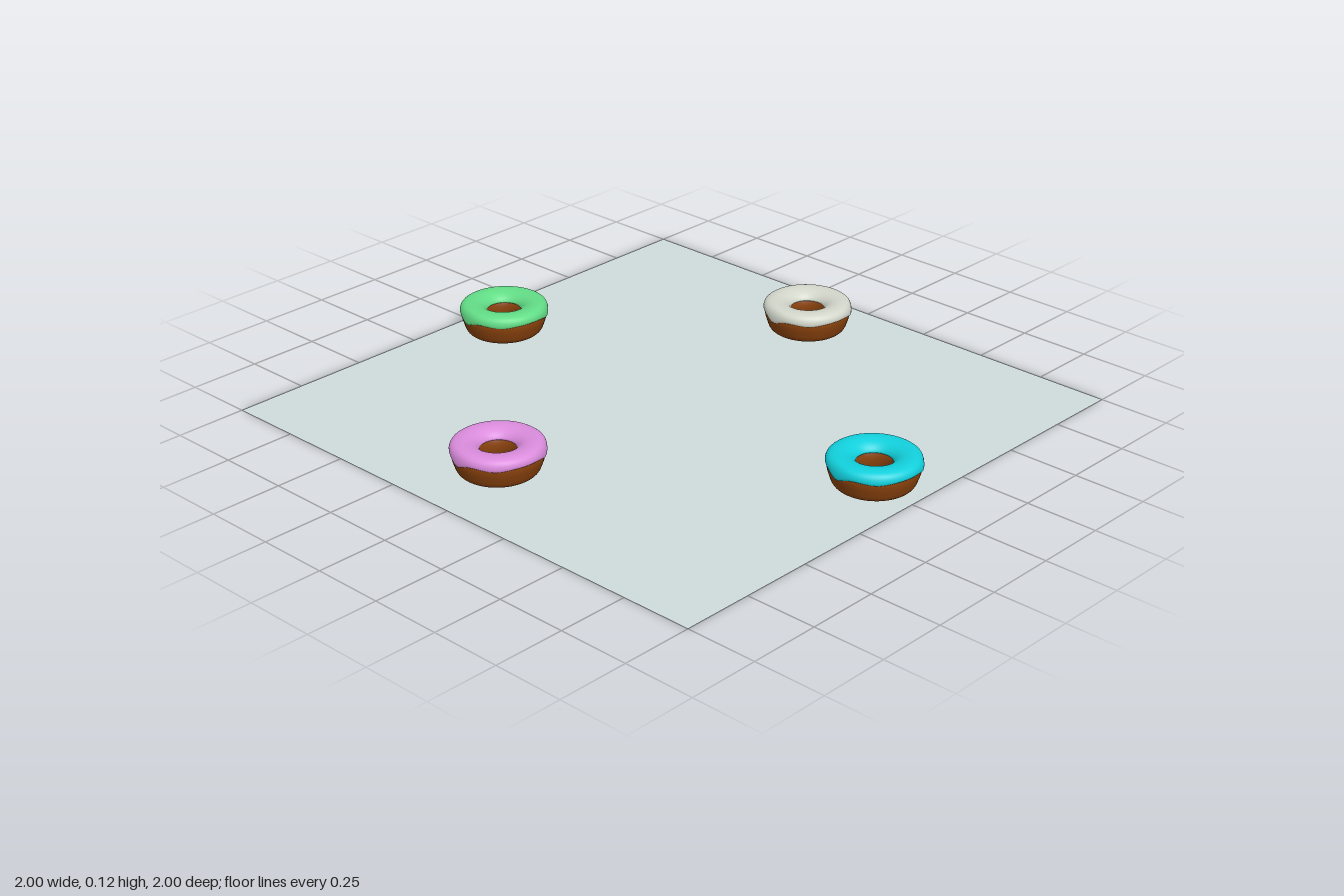
import * as THREE from 'three';
import { mergeVertices } from 'three/addons/utils/BufferGeometryUtils.js';

const SEGMENTS = 48;

// Smooth profile through [radius, height] points
function profile(points, closed, count) {
  const curve = new THREE.CatmullRomCurve3(points.map(([r, y]) => new THREE.Vector3(r, y, 0)), closed, 'centripetal');
  return curve.getPoints(count).map((p) => new THREE.Vector2(p.x, p.y));
}

// Weld the seam so the shading stays smooth all the way round
function weld(geometry) {
  geometry.deleteAttribute('uv');
  geometry.deleteAttribute('normal');
  const welded = mergeVertices(geometry, 1e-5);
  welded.computeVertexNormals();
  return welded;
}

// Ring of dough: narrow flat base, widest near the icing line
function doughGeometry() {
  const points = [
    [0.075, 0.013], [0.095, 0.01], [0.115, 0.011], [0.13, 0.022], [0.14, 0.045],
    [0.147, 0.07], [0.147, 0.088], [0.138, 0.104], [0.11, 0.112], [0.08, 0.106],
    [0.061, 0.09], [0.055, 0.065], [0.06, 0.033],
  ];
  return weld(new THREE.LatheGeometry(profile(points, true, 40), SEGMENTS));
}

// How far the icing runs down at each angle (0 = front): [angle, width, depth]
const DRIPS = [[-0.2, 0.24, 0.018], [0.75, 0.3, 0.006], [2.2, 0.3, 0.014], [3.5, 0.28, 0.01], [4.6, 0.25, 0.006]];
function drip(angle) {
  return DRIPS.reduce((sum, [centre, width, depth]) => {
    const d = Math.atan2(Math.sin(angle - centre), Math.cos(angle - centre));
    return sum + depth * Math.exp(-((d / width) ** 2));
  }, 0);
}

// Icing shell with a wavy outer edge
function icingGeometry() {
  const points = [
    [0.145, 0.086], [0.151, 0.087], [0.153, 0.094], [0.149, 0.107], [0.138, 0.116], [0.12, 0.12],
    [0.1, 0.119], [0.08, 0.113], [0.065, 0.102], [0.058, 0.09], [0.06, 0.086],
  ];
  const geometry = new THREE.LatheGeometry(profile(points, false, 30), SEGMENTS);
  const pos = geometry.attributes.position;
  for (let i = 0; i < pos.count; i++) {
    const x = pos.getX(i), y = pos.getY(i), z = pos.getZ(i);
    if (Math.hypot(x, z) < 0.13) continue;
    const weight = THREE.MathUtils.clamp((0.116 - y) / 0.029, 0, 1);
    pos.setY(i, y - drip(Math.atan2(x, z)) * weight);
  }
  return weld(geometry);
}

export function createModel() {
  const model = new THREE.Group();
  model.name = 'donutsOnSheet';

  // Thin square sheet underneath
  const sheet = new THREE.Mesh(
    new THREE.PlaneGeometry(2, 2).rotateX(-Math.PI / 2),
    new THREE.MeshStandardMaterial({ color: 0xcfdadc, side: THREE.DoubleSide })
  );
  sheet.name = 'sheet';
  model.add(sheet);

  const dough = doughGeometry();
  const icing = icingGeometry();
  const doughMaterial = new THREE.MeshStandardMaterial({ color: 0x8b430d });

  // Four donuts, one towards each side of the sheet
  const donuts = [
    ['greenDonut', -0.82, -0.01, 0x62dc86],
    ['blueDonut', 0.84, -0.01, 0x12d0dc],
    ['whiteDonut', -0.065, -0.745, 0xd2d6ca],
    ['pinkDonut', -0.065, 0.725, 0xda8cdc],
  ];
  for (const [name, x, z, color] of donuts) {
    const donut = new THREE.Group();
    donut.name = name;
    const base = new THREE.Mesh(dough, doughMaterial);
    base.name = 'dough';
    const top = new THREE.Mesh(icing, new THREE.MeshStandardMaterial({ color, side: THREE.DoubleSide }));
    top.name = 'icing';
    donut.add(base, top);
    donut.position.set(x, 0, z);
    model.add(donut);
  }
  return model;
}
